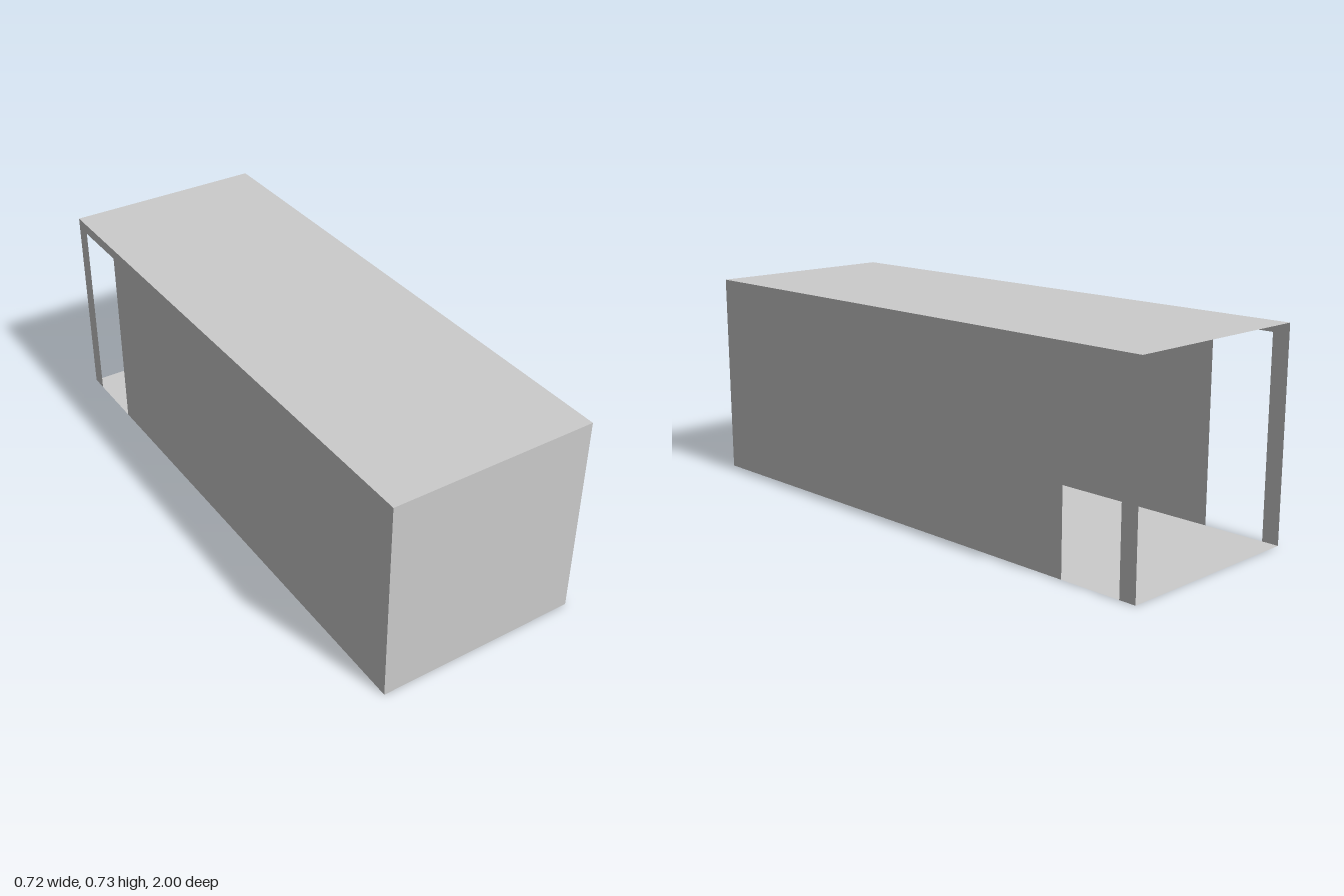
import * as THREE from 'three';

const HALF_W = 0.36, HEIGHT = 0.727, HALF_L = 1;
const DOOR_FRONT = -0.715, DOOR_BACK = -0.94, DOOR_TOP = 0.69;

export function createModel() {
  const group = new THREE.Group();
  const grey = new THREE.MeshStandardMaterial({ color: 0xcccccc, side: THREE.DoubleSide });
  grey.name = 'light grey';

  const add = (name, geometry, position, rotation = [0, 0, 0]) => {
    const mesh = new THREE.Mesh(geometry, grey);
    mesh.name = name;
    mesh.position.set(...position);
    mesh.rotation.set(...rotation);
    group.add(mesh);
  };

  // Floor, roof and closed front end; the back end stays open
  const slab = new THREE.PlaneGeometry(2 * HALF_W, 2 * HALF_L);
  add('floor', slab, [0, 0, 0], [-Math.PI / 2, 0, 0]);
  add('roof', slab, [0, HEIGHT, 0], [-Math.PI / 2, 0, 0]);
  add('frontWall', new THREE.PlaneGeometry(2 * HALF_W, HEIGHT), [0, HEIGHT / 2, HALF_L]);

  // Side wall outline with a doorway down to the floor; shape x is -z
  const outline = [
    [-HALF_L, 0], [-DOOR_FRONT, 0], [-DOOR_FRONT, DOOR_TOP], [-DOOR_BACK, DOOR_TOP],
    [-DOOR_BACK, 0], [HALF_L, 0], [HALF_L, HEIGHT], [-HALF_L, HEIGHT],
  ].map(([x, y]) => new THREE.Vector2(x, y));
  const wall = new THREE.ShapeGeometry(new THREE.Shape(outline));
  add('leftWall', wall, [HALF_W, 0, 0], [0, Math.PI / 2, 0]);
  add('rightWall', wall, [-HALF_W, 0, 0], [0, Math.PI / 2, 0]);

  return group;
}
